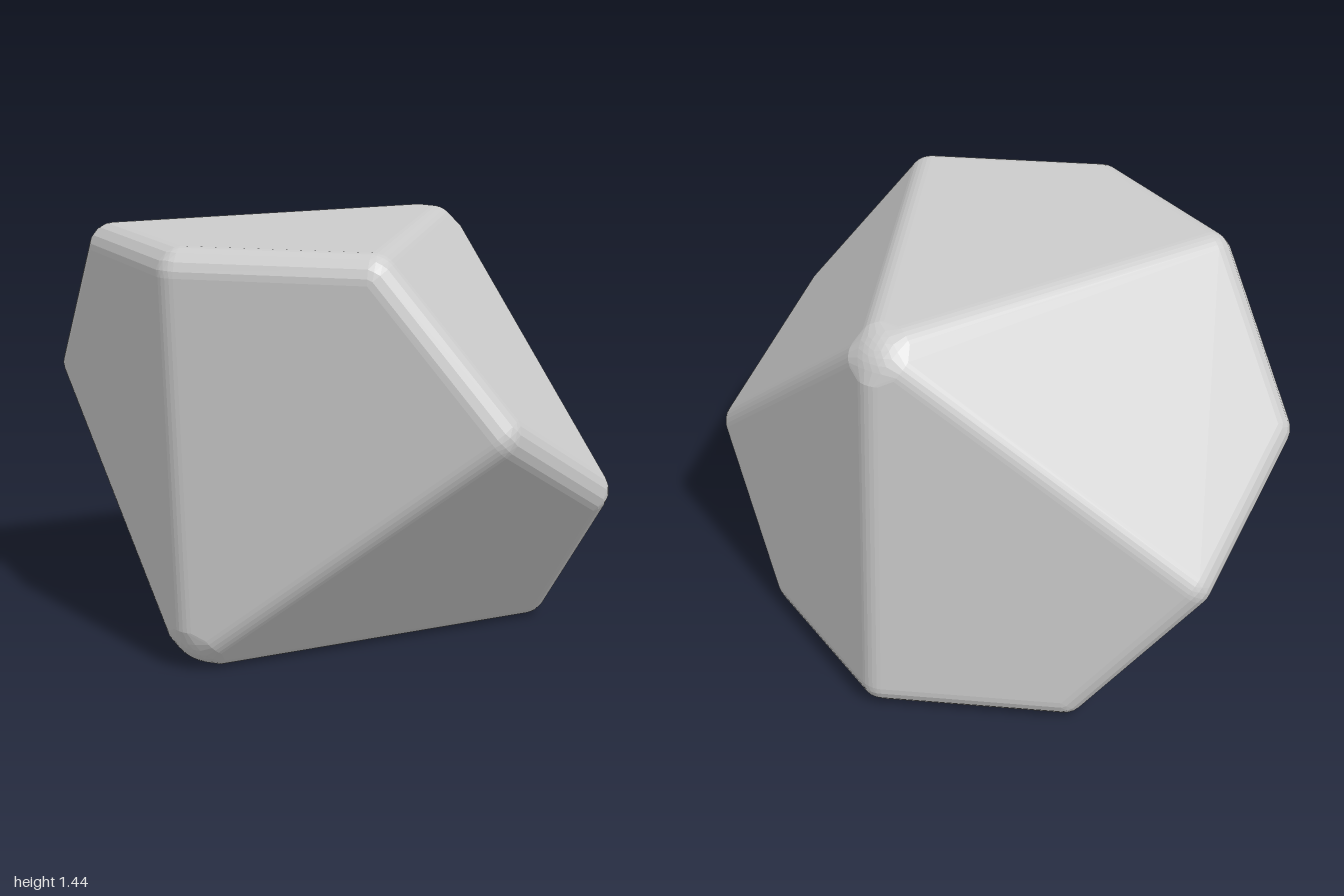
import * as THREE from 'three';
import { ConvexGeometry } from 'three/addons/geometries/ConvexGeometry.js';

const HALF = 0.72;         // distance from centre to every face
const EDGE_R = 0.088;      // rounding of edges and belt corners
const POLE_R = 0.155;      // softer rounding of the two poles
const STEPS = 5;           // strips across each rounded edge

// Point lying at distance d inside three planes with the given normals
function meet(a, b, c, d) {
  const bc = b.clone().cross(c);
  const volume = a.dot(bc);
  return bc.add(c.clone().cross(a)).add(a.clone().cross(b)).multiplyScalar(d / volume);
}

// Patch of a sphere spanned by three directions
function addPatch(points, centre, radius, a, b, c) {
  for (let i = 0; i <= STEPS; i++) {
    for (let j = 0; j <= STEPS - i; j++) {
      const dir = new THREE.Vector3()
        .addScaledVector(a, i).addScaledVector(b, j).addScaledVector(c, STEPS - i - j)
        .normalize();
      points.push(dir.multiplyScalar(radius).add(centre));
    }
  }
}

export function createModel() {
  const group = new THREE.Group();
  group.name = 'tenSidedDie';

  // Five face normals around the tilted pole axis; the first points straight up
  const axis = new THREE.Vector3(0.765, HALF, 0).normalize();
  const poleDistance = HALF / axis.y;
  const upper = [];
  for (let k = 0; k < 5; k++) {
    upper.push(new THREE.Vector3(0, 1, 0).applyAxisAngle(axis, (k * Math.PI * 2) / 5));
  }

  const points = [];
  for (const side of [1, -1]) {
    const n = upper.map((v) => v.clone().multiplyScalar(side));
    const pole = axis.clone().multiplyScalar(side);
    const poleCentre = pole.clone().multiplyScalar(poleDistance * (1 - POLE_R / HALF));
    for (let k = 0; k < 5; k++) {
      const a = n[k];
      const b = n[(k + 1) % 5];
      const c = n[(k + 3) % 5].clone().negate();
      // Belt corner: two faces of this half and one of the other
      addPatch(points, meet(a, b, c, HALF - EDGE_R), EDGE_R, a, b, c);
      // Pole cap
      addPatch(points, poleCentre, POLE_R, pole, a, b);
      // Where the narrow edge runs into the pole cap
      const edgeCentre = a.clone().add(b)
        .multiplyScalar((POLE_R - EDGE_R) / (1 + a.dot(b))).add(poleCentre);
      for (let i = 0; i <= STEPS; i++) {
        const dir = a.clone().multiplyScalar(i).addScaledVector(b, STEPS - i).normalize();
        points.push(dir.multiplyScalar(EDGE_R).add(edgeCentre));
      }
    }
  }

  const body = new THREE.Mesh(
    new ConvexGeometry(points),
    new THREE.MeshStandardMaterial({ color: 0xcccccc, flatShading: true })
  );
  body.name = 'dieBody';
  body.position.y = HALF;
  group.add(body);
  return group;
}
